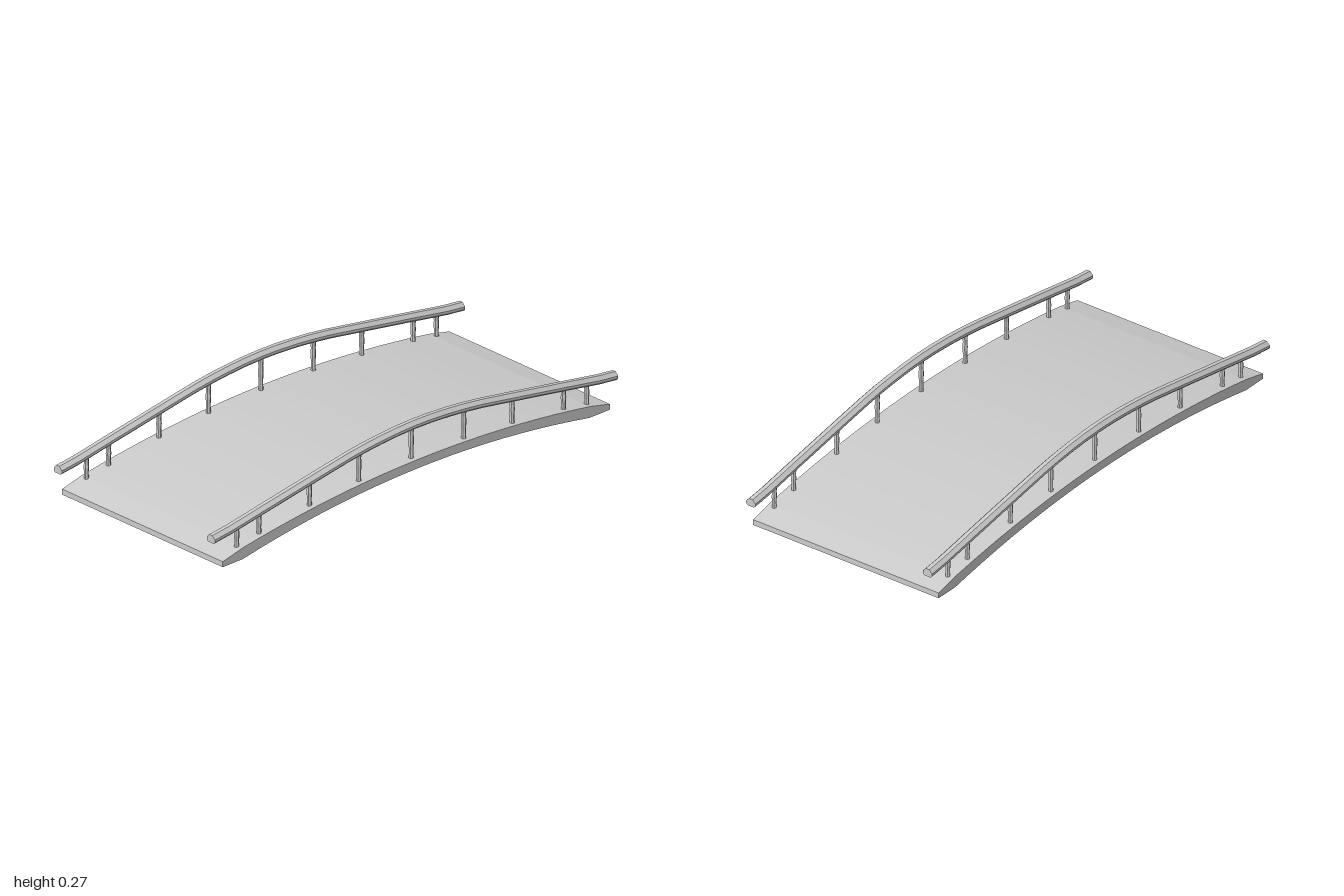
import * as THREE from 'three';

const material = new THREE.MeshStandardMaterial({ color: 0xcccccc, flatShading: true });
const deckTop = x => 0.113 - 0.092 * x * x;
const deckBottom = x => 0.078 - 0.1055 * x * x;

// Height of the handrail's underside along the bridge
const railCurve = new THREE.SplineCurve([
  [-1, 0.104], [-0.75, 0.142], [-0.5, 0.183], [-0.25, 0.221], [0, 0.236],
  [0.25, 0.221], [0.5, 0.183], [0.75, 0.142], [1, 0.104],
].map(([x, y]) => new THREE.Vector2(x, y)));
const railY = x => railCurve.getPoint((x + 1) / 2).y;

function addMesh(parent, geometry, name) {
  const mesh = new THREE.Mesh(geometry, material);
  mesh.name = name;
  parent.add(mesh);
  return mesh;
}

// Arched slab with thin, flat-footed ends
function deckGeometry() {
  const n = 20, reach = 0.86, points = [];
  const at = i => -reach + (2 * reach * i) / n;
  points.push(new THREE.Vector2(-0.96, 0));
  for (let i = 0; i <= n; i++) points.push(new THREE.Vector2(at(i), deckBottom(at(i))));
  points.push(new THREE.Vector2(0.96, 0), new THREE.Vector2(0.96, 0.022));
  for (let i = n; i >= 0; i--) points.push(new THREE.Vector2(at(i), deckTop(at(i))));
  points.push(new THREE.Vector2(-0.96, 0.022));
  const geometry = new THREE.ExtrudeGeometry(new THREE.Shape(points), { depth: 0.84, bevelEnabled: false });
  return geometry.translate(0, 0, -0.42);
}

// Chamfered bar, lifted along the rail curve
function railGeometry() {
  const section = [[-0.015, 0], [0.015, 0], [0.021, 0.007], [0.021, 0.017],
    [0.008, 0.031], [-0.008, 0.031], [-0.021, 0.017], [-0.021, 0.007]];
  const shape = new THREE.Shape(section.map(([x, y]) => new THREE.Vector2(x, y)));
  const geometry = new THREE.ExtrudeGeometry(shape, { depth: 2, steps: 24, bevelEnabled: false });
  geometry.translate(0, 0, -1).rotateY(Math.PI / 2);
  const p = geometry.attributes.position;
  for (let i = 0; i < p.count; i++) p.setY(i, p.getY(i) + railY(p.getX(i)));
  geometry.computeVertexNormals();
  return geometry;
}

// Slightly uneven six-sided baluster
function postGeometry(height) {
  const profile = [[0.0095, 0], [0.0085, 0.3], [0.0105, 0.55], [0.009, 0.75], [0.0115, 1]];
  return new THREE.LatheGeometry(profile.map(([r, t]) => new THREE.Vector2(r, t * height)), 6);
}

export function createModel() {
  const bridge = new THREE.Group();
  bridge.name = 'footbridge';
  addMesh(bridge, deckGeometry(), 'deck');

  const postXs = [-0.865, -0.755, -0.505, -0.26, 0, 0.26, 0.5, 0.755, 0.87];
  for (const side of [1, -1]) {
    const railing = new THREE.Group();
    railing.name = side > 0 ? 'frontRailing' : 'backRailing';
    bridge.add(railing);
    addMesh(railing, railGeometry(), 'handrail').position.z = side * 0.4;
    for (const x of postXs) {
      const base = deckTop(x) - 0.006;
      const post = addMesh(railing, postGeometry(railY(x) + 0.008 - base), 'post');
      post.position.set(x, base, side * 0.393);
    }
  }
  return bridge;
}
